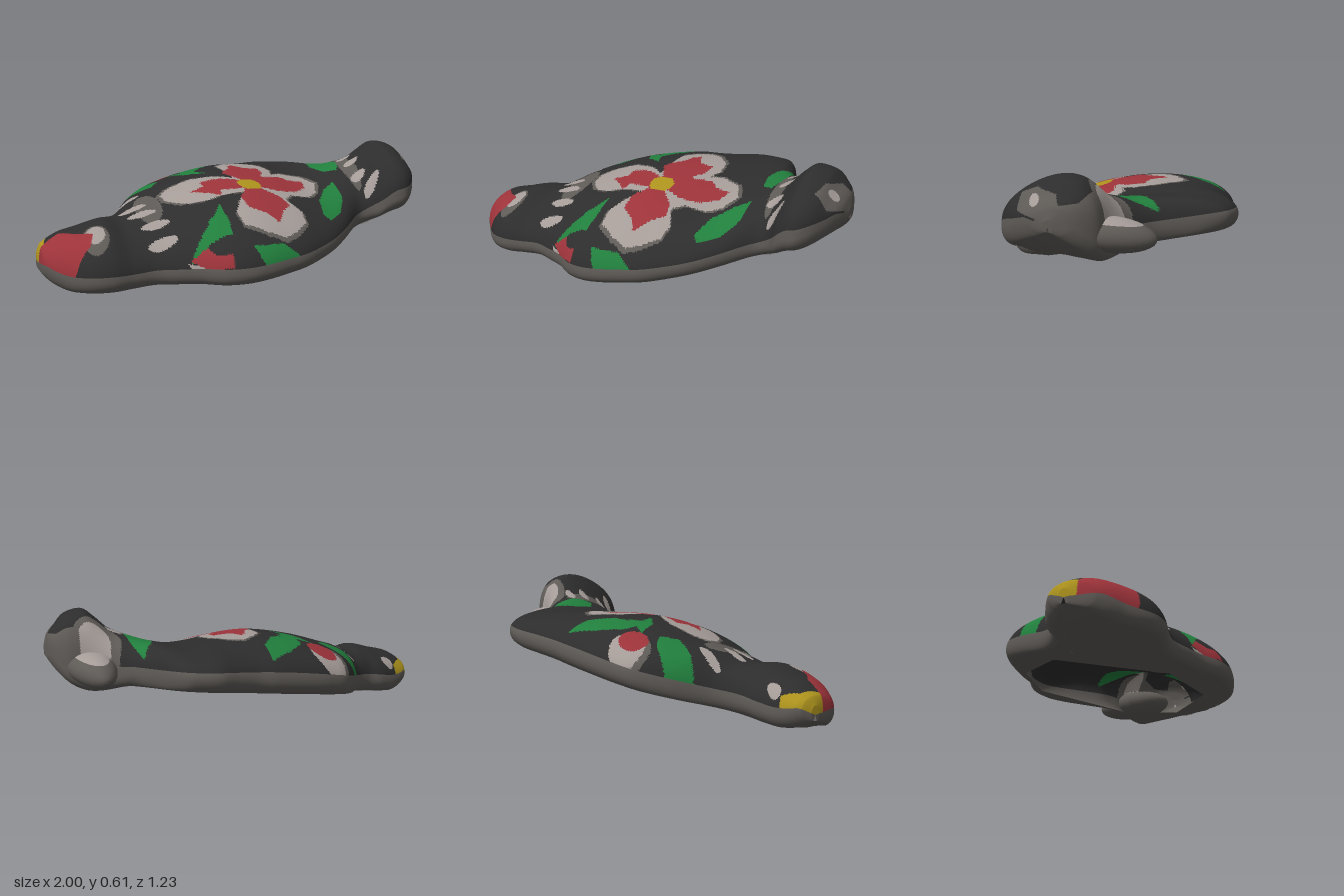
import * as THREE from 'three';

// Flat colours
const mat = (name, color) => {
  const m = new THREE.MeshStandardMaterial({ color, side: THREE.DoubleSide });
  m.name = name;
  return m;
};
const materials = [
  mat('charcoal', 0x2d2d2d), mat('warm grey', 0x5e5a56), mat('pale grey', 0xa59c98),
  mat('red', 0x9c333a), mat('green', 0x217f3d), mat('yellow', 0xad931d),
];
const [DARK, GREY, PALE, RED, GREEN, YELLOW] = [0, 1, 2, 3, 4, 5];

// Outline and height profiles along x, as [x, value]
const backEdge = [[-1, 0.11], [-0.98, 0.06], [-0.9, 0.01], [-0.8, -0.03], [-0.7, -0.05], [-0.6, -0.13],
  [-0.5, -0.3], [-0.4, -0.42], [-0.3, -0.47], [-0.2, -0.5], [0, -0.54], [0.1, -0.55], [0.2, -0.58],
  [0.3, -0.615], [0.4, -0.605], [0.45, -0.58], [0.5, -0.51], [0.55, -0.4], [0.6, -0.31], [0.65, -0.26],
  [0.7, -0.22], [0.8, -0.17], [0.9, -0.15], [0.95, -0.11], [0.985, -0.05], [1, 0.02]];
const frontEdge = [[-1, 0.16], [-0.98, 0.27], [-0.9, 0.37], [-0.8, 0.45], [-0.7, 0.475], [-0.6, 0.46],
  [-0.5, 0.455], [-0.4, 0.49], [-0.3, 0.53], [-0.2, 0.59], [-0.1, 0.615], [0, 0.61], [0.1, 0.59],
  [0.2, 0.565], [0.3, 0.515], [0.4, 0.45], [0.5, 0.36], [0.6, 0.26], [0.65, 0.235], [0.7, 0.25],
  [0.75, 0.295], [0.84, 0.32], [0.9, 0.285], [0.95, 0.21], [0.985, 0.13], [1, 0.06]];
const heights = [[-1, 0.07], [-0.98, 0.13], [-0.9, 0.22], [-0.8, 0.245], [-0.7, 0.26], [-0.6, 0.235],
  [-0.5, 0.255], [-0.4, 0.27], [-0.2, 0.305], [0, 0.31], [0.2, 0.27], [0.4, 0.222], [0.5, 0.224],
  [0.6, 0.246], [0.7, 0.28], [0.76, 0.32], [0.82, 0.345], [0.9, 0.29], [0.95, 0.2], [0.985, 0.12], [1, 0.05]];

// Smooth cubic reading of a profile
function sample(t, x) {
  let i = 0;
  while (i < t.length - 2 && x > t[i + 1][0]) i++;
  const slope = (j) => {
    const a = t[Math.max(0, j - 1)], b = t[Math.min(t.length - 1, j + 1)];
    return (b[1] - a[1]) / (b[0] - a[0]);
  };
  const [x0, v0] = t[i], [x1, v1] = t[i + 1], h = x1 - x0, s = (x - x0) / h, s2 = s * s, s3 = s2 * s;
  return (2 * s3 - 3 * s2 + 1) * v0 + (s3 - 2 * s2 + s) * h * slope(i)
    + (3 * s2 - 2 * s3) * v1 + (s3 - s2) * h * slope(i + 1);
}

// How far x lies into the raised end, 0 to 1
const raised = (x) => THREE.MathUtils.smoothstep(x, 0.62, 0.82);

// Tilted base plane, softly levelled at the ground and lifting at both ends
function base(x, z) {
  const b = 0.155 + 0.12 * x + (0.3 * raised(x) - 0.2) * z;
  return (b + Math.sqrt(b * b + 0.0012)) / 2 + 3 * Math.max(0, x - 0.8) ** 2 + 3 * Math.max(0, -0.85 - x) ** 2;
}

// The raised end has a boxier cross-section, its top leaning to the front
function section(x) {
  const zb = sample(backEdge, x), zf = sample(frontEdge, x), half = (zf - zb) / 2;
  return {
    mid: (zf + zb) / 2, half, high: sample(heights, x), r: Math.min(0.055, half * 0.6),
    power: 1 - 0.32 * raised(x), lean: 0.36 * raised(x),
  };
}

// Painted regions: later ones lie on top
const regions = [];
function inside(poly, u, v) {
  let hit = false;
  for (let i = 0, j = poly.length - 1; i < poly.length; j = i++) {
    const [a, b] = poly[i], [c, d] = poly[j];
    if ((b > v) !== (d > v) && u < ((c - a) * (v - b)) / (d - b) + a) hit = !hit;
  }
  return hit;
}
const paint = (color, poly) => regions.push([color, (p) => inside(poly, p.x, p.z)]);
const paintFront = (color, poly) => regions.push([color, (p) => p.z > 0.4 && inside(poly, p.x, p.y)]);
const dab = (color, x, z, rx, rz) =>
  regions.push([color, (p) => ((p.x - x) / rx) ** 2 + ((p.z - z) / rz) ** 2 < 1]);

// Pale strokes over grey at the lower neck
dab(GREY, -0.46, 0.12, 0.065, 0.15);
for (const [x, z] of [[-0.53, -0.07], [-0.53, 0.09], [-0.5, 0.17], [-0.46, 0.28], [-0.45, 0.39]]) dab(PALE, x, z, 0.07, 0.027);

// Big flower: grey border, pale petals, red hearts, yellow centre
const petals = [[0.03, -0.25], [0.1, -0.31], [0.17, -0.28], [0.24, -0.2], [0.26, -0.1], [0.24, -0.03],
  [0.3, -0.06], [0.4, -0.03], [0.45, 0.07], [0.41, 0.17], [0.35, 0.22], [0.25, 0.23], [0.2, 0.28],
  [0.25, 0.37], [0.24, 0.44], [0.17, 0.5], [0.1, 0.53], [0.02, 0.51], [-0.08, 0.46], [-0.09, 0.38],
  [-0.05, 0.3], [0, 0.23], [-0.1, 0.23], [-0.2, 0.24], [-0.3, 0.2], [-0.37, 0.12], [-0.38, 0.04],
  [-0.33, -0.01], [-0.2, -0.04], [-0.08, 0], [0, 0.06], [0.01, 0], [-0.01, -0.1], [-0.01, -0.2]];
paint(GREY, petals.map(([x, z]) => [0.06 + (x - 0.06) * 1.05, 0.14 + (z - 0.14) * 1.05]));
paint(PALE, petals);
paint(RED, [[0.04, 0.1], [-0.03, -0.03], [0, -0.08], [0.04, -0.12], [0.05, -0.18], [0.08, -0.23], [0.12, -0.14],
  [0.2, -0.13], [0.2, -0.05], [0.16, 0.03], [0.27, 0], [0.32, 0.04], [0.39, 0.04], [0.37, 0.12],
  [0.3, 0.18], [0.2, 0.2], [0.1, 0.17]]);
paint(RED, [[0.1, 0.18], [0.18, 0.26], [0.2, 0.33], [0.14, 0.39], [0.1, 0.46], [0.05, 0.4], [-0.02, 0.36],
  [-0.03, 0.27], [0.03, 0.18]]);
paint(RED, [[0.02, 0.19], [-0.1, 0.18], [-0.12, 0.22], [-0.18, 0.17], [-0.24, 0.12], [-0.17, 0.1],
  [-0.17, 0.04], [-0.08, 0.04], [0.02, 0.09]]);
dab(YELLOW, 0.06, 0.14, 0.06, 0.06);

// Leaves
paint(GREEN, [[-0.2, -0.2], [-0.19, -0.32], [-0.1, -0.42], [0.02, -0.5], [0.02, -0.38], [-0.05, -0.27], [-0.14, -0.22]]);
paint(GREEN, [[-0.27, -0.27], [-0.18, -0.24], [-0.1, -0.23], [-0.14, -0.17], [-0.1, -0.08], [-0.2, -0.15]]);
paint(GREEN, [[-0.58, -0.2], [-0.5, -0.31], [-0.4, -0.28], [-0.33, -0.21], [-0.38, -0.13], [-0.5, -0.16]]);
paint(GREEN, [[0.53, -0.23], [0.58, -0.32], [0.62, -0.2], [0.64, -0.05], [0.6, 0.02], [0.54, -0.02], [0.51, -0.13]]);
paint(GREEN, [[0.37, 0.36], [0.4, 0.24], [0.47, 0.14], [0.54, 0.1], [0.54, 0.22], [0.48, 0.32], [0.4, 0.38]]);
paint(GREEN, [[-0.35, 0.5], [-0.27, 0.43], [-0.2, 0.36], [-0.15, 0.3], [-0.14, 0.42], [-0.15, 0.49], [-0.25, 0.49]]);
paintFront(GREEN, [[-0.07, 0.21], [0.08, 0.21], [0.17, 0.14], [0.08, 0.11], [-0.03, 0.13]]);

// Buds
dab(GREY, -0.32, -0.37, 0.1, 0.09);
dab(PALE, -0.31, -0.385, 0.085, 0.085);
dab(RED, -0.295, -0.335, 0.072, 0.07);
paintFront(PALE, [[-0.36, 0.13], [-0.27, 0.12], [-0.26, 0.06], [-0.33, 0.07]]);
paintFront(RED, [[-0.35, 0.14], [-0.27, 0.2], [-0.24, 0.17], [-0.17, 0.18], [-0.17, 0.12], [-0.28, 0.11]]);

// Pale strokes over grey at the upper neck
dab(GREY, 0.655, 0.04, 0.035, 0.15);
for (const [x, z] of [[0.68, -0.07], [0.68, 0.02], [0.67, 0.13], [0.71, 0.21]]) dab(PALE, x, z, 0.04, 0.024);
dab(GREY, 0.78, -0.17, 0.12, 0.1);
dab(PALE, 0.79, -0.17, 0.08, 0.07);

// Low end: red patch, pale edge, yellow tip
dab(GREY, -0.75, 0.33, 0.06, 0.09);
dab(PALE, -0.75, 0.31, 0.045, 0.06);
dab(PALE, -0.85, 0.03, 0.035, 0.025);
paint(RED, [[-1, 0.19], [-0.9, 0.19], [-0.84, 0.25], [-0.76, 0.3], [-0.78, 0.37], [-0.85, 0.41], [-0.93, 0.38], [-1, 0.3]]);
paint(YELLOW, [[-1.01, 0.19], [-0.97, 0.19], [-0.95, 0.09], [-0.89, 0.03], [-0.91, -0.01], [-1.01, 0]]);

// High end: grey face with a pale spot
const face = [[0.33, 0.33], [0.15, 0.37], [0.1, 0.45], [0.2, 0.47], [0.2, 0.54], [0.12, 0.57], [0.02, 0.55],
  [0, 0.51], [-0.08, 0.52], [-0.12, 0.57], [-0.25, 0.5], [-0.4, 0.2], [0.33, 0.2]];
regions.push([GREY, (p) => p.x > 0.85 && inside(face, p.z, p.y)]);
regions.push([PALE, (p) => p.x > 0.85 && Math.hypot(p.z - 0.12, p.y - 0.52) < 0.025]);

// Bare grey rim below, paint above
function colorAt(p, theta) {
  if (theta < 0.12 || theta > Math.PI - 0.18) return GREY;
  for (let i = regions.length - 1; i >= 0; i--) if (regions[i][1](p)) return regions[i][0];
  return DARK;
}

// Domed shell lofted from cross-sections, with a rolled lip
function shellGeometry() {
  const N = 320, M = 190, pos = [], lists = materials.map(() => []);
  const angle = (k) => -Math.PI / 2 + (2 * Math.PI * k) / M;
  for (let i = 0; i <= N; i++) {
    const x = -Math.cos((Math.PI * i) / N), { mid, half, high, r, power, lean } = section(x);
    const lip = Math.min(0.06, high * 0.4), end = i === 0 || i === N;
    for (let k = 0; k <= M; k++) {
      const a = angle(k), c = Math.cos(a), s = Math.sin(a);
      const z = mid + (end ? 0 : s >= 0 ? half * c : Math.sign(c) * (half - r) + r * c);
      const rise = s >= 0 ? (high - lip - lean * (z - mid)) * s ** power : lip * s;
      pos.push(x, base(x, z) + lip + (end ? 0 : rise), z);
    }
  }
  const p = new THREE.Vector3(), q = new THREE.Vector3();
  const add = (a, b, c, theta) => {
    p.set(0, 0, 0);
    for (const v of [a, b, c]) p.add(q.fromArray(pos, v * 3));
    lists[colorAt(p.divideScalar(3), theta)].push(a, b, c);
  };
  for (let i = 0; i < N; i++) for (let k = 0; k < M; k++) {
    const a = i * (M + 1) + k, b = a + M + 1, t = angle(k + 0.5);
    add(a, b, a + 1, t);
    add(b, b + 1, a + 1, t);
  }
  const g = new THREE.BufferGeometry();
  g.setAttribute('position', new THREE.Float32BufferAttribute(pos, 3));
  g.setIndex(lists.flat());
  let start = 0;
  lists.forEach((l, m) => { g.addGroup(start, l.length, m); start += l.length; });
  g.computeVertexNormals();
  return g;
}

// Underside ring from the rim in to a polygonal opening
function undersideGeometry() {
  const hole = [[0.67, -0.16], [0.24, -0.52], [-0.14, -0.44], [-0.42, -0.16], [-0.26, 0.36], [0.12, 0.43], [0.58, 0.16]]
    .map(([x, z]) => new THREE.Vector3(x, 0, z));
  const sides = hole.map((v, i) => new THREE.Line3(v, hole[(i + 1) % hole.length]));
  const n = 120, steps = 8, pos = [], index = [];
  for (let j = 0; j <= 2 * n; j++) {
    const x = -Math.cos((Math.PI * j) / n), { mid, half, r } = section(x);
    const rim = new THREE.Vector3(x, 0, mid + (j < n || j === 2 * n ? 1 : -1) * (half - r));
    const near = sides.map((s) => s.closestPointToPoint(rim, true, new THREE.Vector3()))
      .reduce((a, b) => (b.distanceTo(rim) < a.distanceTo(rim) ? b : a));
    for (let k = 0; k <= steps; k++) {
      const v = rim.clone().lerp(near, k / steps), a = j * (steps + 1) + k, b = a + steps + 1;
      pos.push(v.x, base(v.x, v.z), v.z);
      if (j < 2 * n && k < steps) index.push(a, a + 1, b, b, a + 1, b + 1);
    }
  }
  const g = new THREE.BufferGeometry();
  g.setAttribute('position', new THREE.Float32BufferAttribute(pos, 3));
  g.setIndex(index);
  g.computeVertexNormals();
  return g;
}

// Rounded flap, tapering and bending to its tip; cap is the angle it covers from the top
function flapGeometry(cap) {
  const g = new THREE.SphereGeometry(1, 32, 20, 0, Math.PI * 2, 0, cap), q = g.attributes.position;
  for (let i = 0; i < q.count; i++) q.setX(i, q.getX(i) * (1 + 0.2 * q.getZ(i)) + 0.3 * q.getZ(i));
  g.computeVertexNormals();
  return g;
}

export function createModel() {
  const group = new THREE.Group();
  group.name = 'paintedShell';
  const part = (name, geometry, material) => {
    const m = new THREE.Mesh(geometry, material);
    m.name = name;
    group.add(m);
    return m;
  };
  part('shell', shellGeometry(), materials);
  part('underside', undersideGeometry(), materials[GREY]);
  // Flap behind the raised end, with a pale top
  for (const [name, cap, color, grow] of [['flap', Math.PI, GREY, 1], ['flapTop', 0.75, PALE, 1.04]]) {
    const m = part(name, flapGeometry(cap), materials[color]);
    m.scale.set(0.11, 0.075 * grow, 0.2);
    m.position.set(0.8, 0.36, -0.16);
    m.rotation.x = -0.1;
  }
  return group;
}
